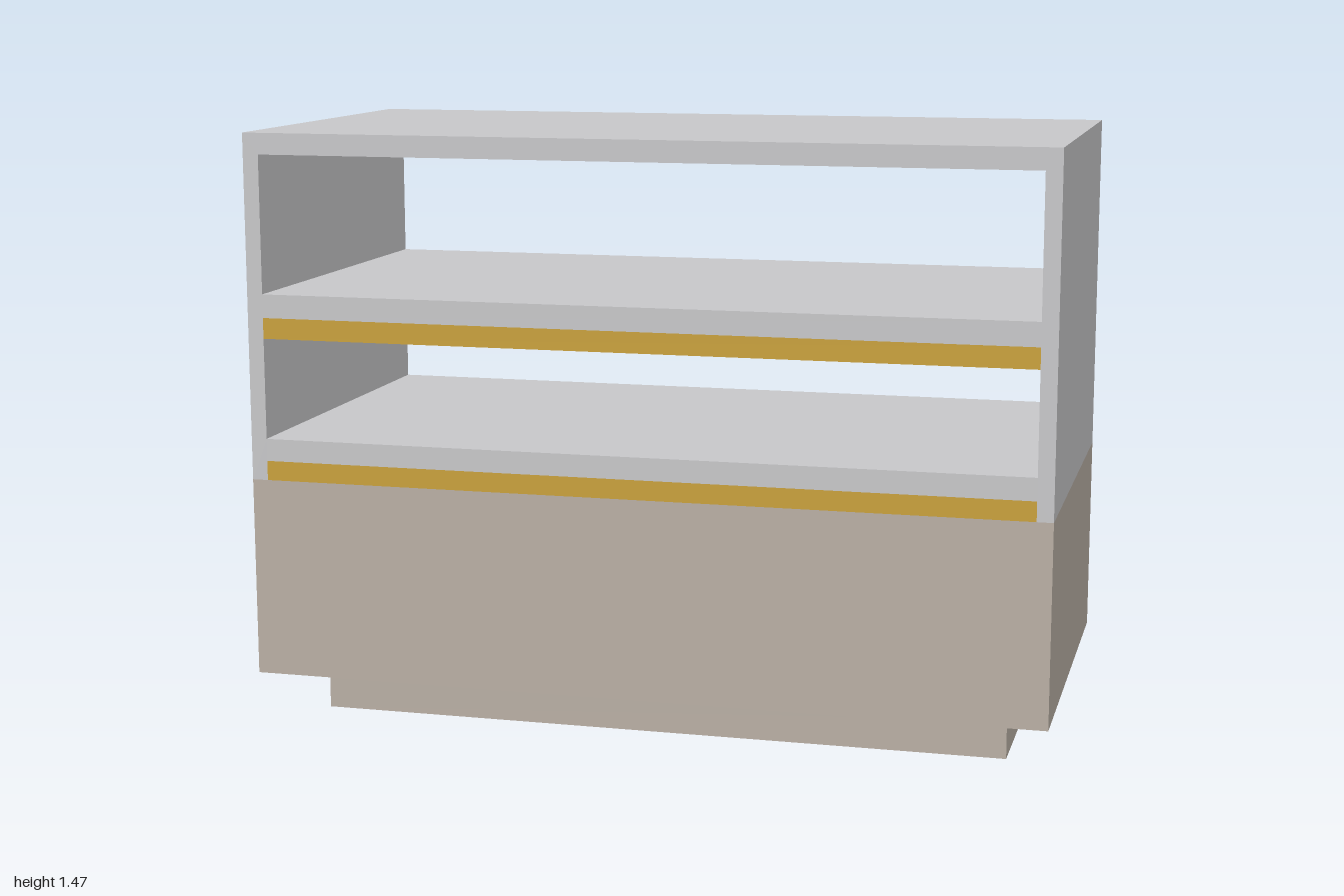
import * as THREE from 'three';

export function createModel() {
  const group = new THREE.Group();
  const grey = new THREE.MeshStandardMaterial({ color: 0xc6c6c8 });
  grey.name = 'light grey';
  const taupe = new THREE.MeshStandardMaterial({ color: 0xb8aea3 });
  taupe.name = 'taupe';
  const gold = new THREE.MeshStandardMaterial({ color: 0xc8a03b });
  gold.name = 'gold';

  const depth = 1;
  const inner = 0.96; // half width between the side walls
  const baseTop = 0.6;

  // Box given by its lower and upper limits on each axis
  function addBox(name, material, [x0, x1], [y0, y1], [z0, z1]) {
    const mesh = new THREE.Mesh(new THREE.BoxGeometry(x1 - x0, y1 - y0, z1 - z0), material);
    mesh.position.set((x0 + x1) / 2, (y0 + y1) / 2, (z0 + z1) / 2);
    mesh.name = name;
    group.add(mesh);
  }

  // Recessed plinth and solid lower cabinet
  addBox('plinth', taupe, [-0.835, 0.895], [0, 0.098], [-0.427, 0.433]);
  addBox('lowerCabinet', taupe, [-1, 1], [0.098, baseTop], [-depth / 2, depth / 2]);

  // Open upper frame: walls, top and shelves in one piece, notched for the lower gold panel
  const frame = new THREE.Shape([
    [-1, baseTop], [-inner, baseTop], [-inner, 0.649], [inner, 0.649],
    [inner, baseTop], [1, baseTop], [1, 1.467], [-1, 1.467],
  ].map(([x, y]) => new THREE.Vector2(x, y)));
  for (const [y0, y1] of [[0.705, 1.01], [1.069, 1.414]]) {
    frame.holes.push(new THREE.Path([
      new THREE.Vector2(-inner, y0), new THREE.Vector2(-inner, y1),
      new THREE.Vector2(inner, y1), new THREE.Vector2(inner, y0),
    ]));
  }
  const frameGeometry = new THREE.ExtrudeGeometry(frame, { depth, bevelEnabled: false });
  frameGeometry.translate(0, 0, -depth / 2);
  const frameMesh = new THREE.Mesh(frameGeometry, grey);
  frameMesh.name = 'shelfFrame';
  group.add(frameMesh);

  // Gold panels below each shelf
  addBox('lowerShelfPanel', gold, [-inner, inner], [baseTop, 0.649], [-depth / 2, depth / 2]);
  addBox('upperShelfPanel', gold, [-inner, inner], [0.958, 1.01], [-depth / 2, depth / 2]);

  return group;
}
